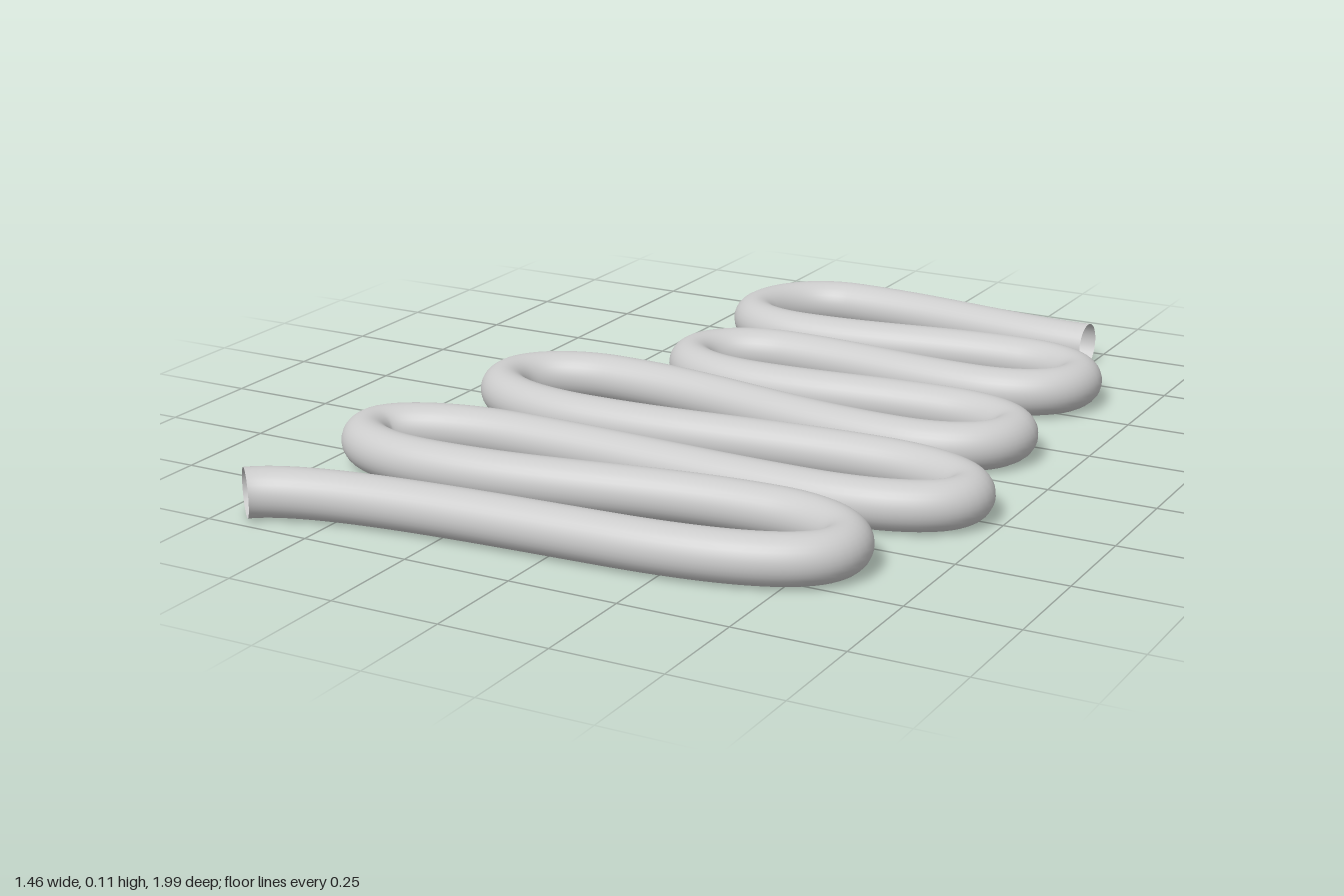
import * as THREE from 'three';

const RADIUS = 0.055;

// Each U-turn: entry point, tip and exit point of the centreline, as (x, z) pairs
const TURNS = [
  [-0.17, -0.945, -0.357, -0.765, -0.17, -0.635],
  [0.41, -0.695, 0.59, -0.575, 0.38, -0.435],
  [-0.12, -0.475, -0.315, -0.345, -0.08, -0.215],
  [0.41, -0.25, 0.605, -0.14, 0.39, 0.0],
  [-0.4, -0.1, -0.61, 0.035, -0.29, 0.195],
  [0.42, 0.145, 0.675, 0.27, 0.36, 0.405],
  [-0.37, 0.375, -0.68, 0.5, -0.44, 0.625],
  [0.36, 0.53, 0.575, 0.66, 0.15, 0.83],
];

const mix = THREE.MathUtils.lerp;

export function createModel() {
  const path = new THREE.CurvePath();
  const bezier = (...c) => {
    const p = [0, 2, 4, 6].map((i) => new THREE.Vector3(c[i], RADIUS, c[i + 1]));
    path.add(new THREE.CubicBezierCurve3(...p));
  };

  // Serpentine centreline: gentle S-shaped runs joined by elliptical U-turns
  let x = 0.5, z = -0.88;
  TURNS.forEach(([x0, z0, x1, z1, x2, z2], i) => {
    const last = i === TURNS.length - 1;
    bezier(x, z, mix(x, x0, 0.38), z, mix(x0, x, 0.38), z0, x0, z0);
    bezier(x0, z0, mix(x0, x1, 0.56), z0, x1, mix(z1, z0, 0.56), x1, z1);
    bezier(x1, z1, x1, mix(z1, z2, 0.6), mix(x2, x1, 0.6), last ? z2 - 0.015 : z2, x2, z2);
    x = x2;
    z = z2;
  });

  // Front tail, bending outward at its open end
  bezier(x, z, -0.15, 0.846, -0.58, 0.85, -0.685, 0.955);

  const tube = new THREE.Mesh(
    new THREE.TubeGeometry(path, 700, RADIUS, 32, false),
    new THREE.MeshStandardMaterial({ color: 0xcccccc, side: THREE.DoubleSide })
  );
  tube.name = 'serpentineTube';

  const model = new THREE.Group();
  model.name = 'coiledPipe';
  model.add(tube);
  return model;
}
